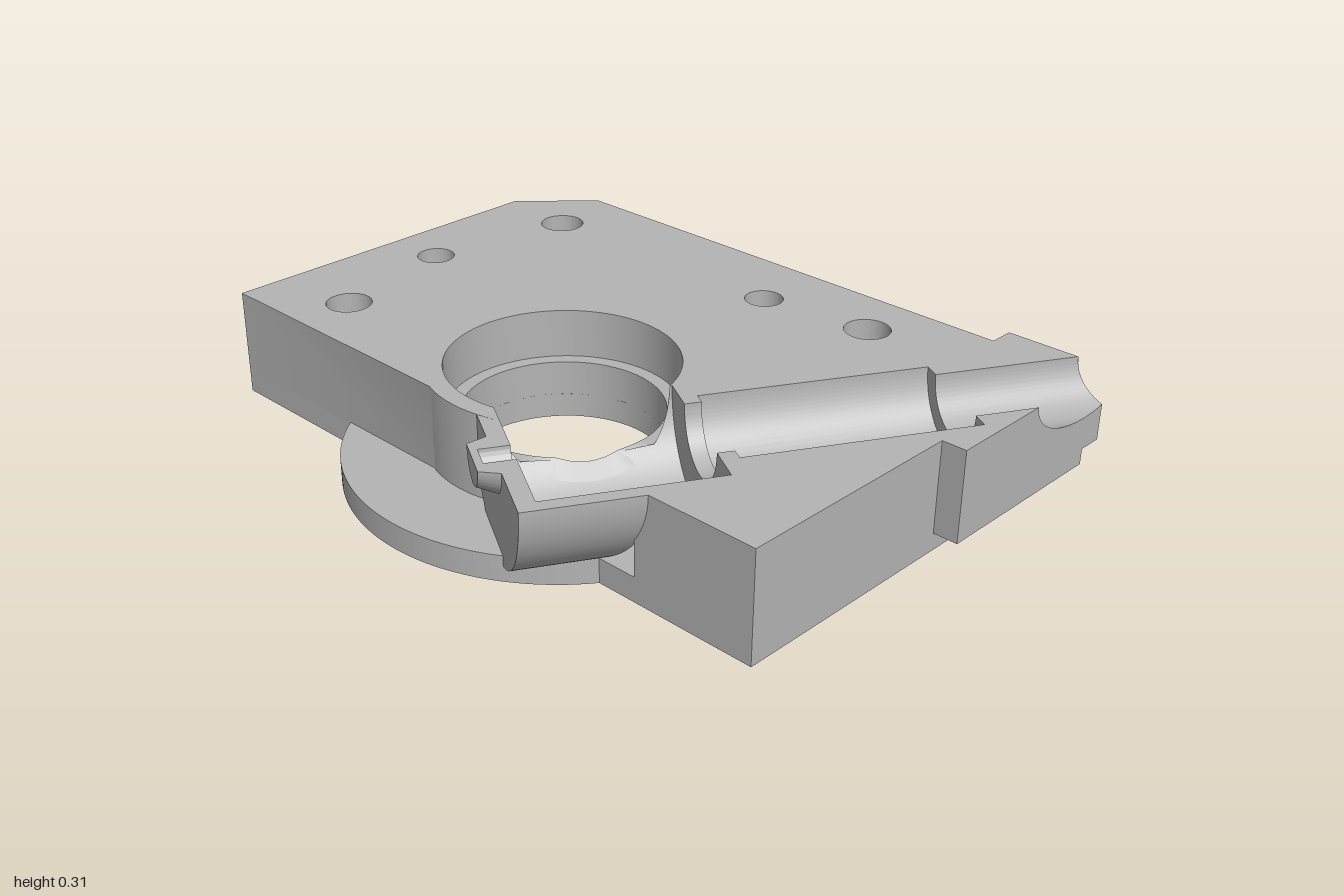
import * as THREE from 'three';
import { toCreasedNormals } from 'three/addons/utils/BufferGeometryUtils.js';

const TOP = 0.31, BASE = 0.07, LEDGE = 0.17;
const C = Math.cos(Math.PI / 6), S = 0.5;
const AX = -0.61, AZ = 0.245;            // start of the slanted groove axis
const BX = -0.185, BZ = -0.035;          // centre of the large bore
const R1 = 0.2375, R2 = 0.13, R3 = 0.165, R4 = 0.118; // stepped groove radii
const U1 = 0.462, U2 = 0.507, U3 = 1.135;             // step positions along the axis
const EDGE = -0.53, RIGHT = 0.71, LUG = 0.785;

// u runs along the groove, v across it
const uv = (u, v) => [AX + C * u - S * v, AZ + S * u + C * v];
const across = (x, z) => -S * (x - AX) + C * (z - AZ);
const uAtX = (x, v) => (x - AX + S * v) / C;
const floorAt = (x, z, r) => TOP - Math.sqrt(Math.max(0, r * r - across(x, z) ** 2));

const arc = (r, a0, a1, n = 64) => Array.from({ length: n + 1 }, (_, i) => {
  const a = THREE.MathUtils.degToRad(a0 + (a1 - a0) * i / n);
  return [BX + r * Math.cos(a), BZ + r * Math.sin(a)];
});

function planShape(points, holes = []) {
  const shape = new THREE.Shape(points.map(([x, z]) => new THREE.Vector2(x, -z)));
  for (const [x, z, r] of holes) {
    const h = new THREE.Path();
    h.absarc(x, -z, r, 0, Math.PI * 2, true);
    shape.holes.push(h);
  }
  return shape;
}

function slab(points, y0, y1, holes) {
  const g = new THREE.ExtrudeGeometry(planShape(points, holes),
    { depth: y1 - y0, bevelEnabled: false, curveSegments: 32 });
  g.rotateX(-Math.PI / 2).translate(0, y0, 0);
  return toCreasedNormals(g, 0.5);
}

function box(x0, x1, y0, y1, z0, z1) {
  return new THREE.BoxGeometry(x1 - x0, y1 - y0, z1 - z0)
    .translate((x0 + x1) / 2, (y0 + y1) / 2, (z0 + z1) / 2);
}

// Moves every vertex by a rule, then restores sharp edges
function reshape(g, rule) {
  const p = g.attributes.position;
  for (let i = 0; i < p.count; i++) p.setXYZ(i, ...rule(p.getX(i), p.getY(i), p.getZ(i)));
  return toCreasedNormals(g, 0.5);
}

// Half revolution about the slanted axis; profile is [radius, u], clip limits u for each v
function halfTurn(profile, clip) {
  const g = new THREE.LatheGeometry(profile.map(([r, u]) => new THREE.Vector2(r, u)), 96, 0, Math.PI);
  return reshape(g, (lx, u, v) => {
    const [x, z] = uv(clip(u, v), v);
    return [x, TOP - lx, z];
  });
}

// Half length of the opening where the groove breaks into the bore
function opening(v) {
  const r = v < -0.192 ? 0.315 : 0.275;
  return Math.sqrt(Math.max(0, r * r - (v + 0.455) ** 2));
}

export function createModel() {
  const model = new THREE.Group();
  const grey = new THREE.MeshStandardMaterial({ color: 0xb4b4b4, side: THREE.DoubleSide });
  grey.name = 'machinedGrey';
  const add = (name, geometry) => {
    const mesh = new THREE.Mesh(geometry, grey);
    mesh.name = name;
    model.add(mesh);
  };

  const through = [[-0.355, -0.73, 0.065], [0.49, -0.75, 0.065], [0.53, 0.415, 0.065]];
  const blind = [[0.04, -0.825, 0.055], [0.49, 0.08, 0.055]];

  // Bottom layer of the plate and the round flange at its side
  add('basePlate', slab([[EDGE, -1], [0.52, -1], [RIGHT, -0.81], [RIGHT, 0.93], [EDGE, 0.93]],
    0, BASE, [...through, [BX, BZ, 0.275]]));
  add('roundFlange', slab(arc(0.595, 125.4, 234.6), 0, BASE + 0.003));

  // Upper layer behind the groove, notched by the bore
  add('rearPlate', slab([
    uv(uAtX(EDGE, -0.16), -0.16), ...arc(0.368, 168.5, 200.3, 12),
    [EDGE, -1], [0.52, -1], [RIGHT, -0.81], uv(uAtX(RIGHT, -R4), -R4),
    uv(U3, -R4), uv(U3, -R3), uv(U2, -R3), uv(U2, -R2), uv(U1, -R2), uv(U1, -R1),
    ...arc(0.315, 73.6, -193.6, 80),
  ], BASE, TOP, [...through, ...blind]));

  // Upper layer in front of the groove
  add('frontPlate', slab([
    uv(uAtX(EDGE, R1), R1), uv(U1, R1), uv(U1, R2), uv(U2, R2), uv(U2, R3), uv(U3, R3), uv(U3, R4),
    uv((1 - AZ - C * R4) / S, R4), [0.15, 1], [0.15, 0.93], [EDGE, 0.93],
  ], BASE, TOP));

  // Corner lug
  add('lugFoot', box(0.15, RIGHT, 0.05, 0.095, 0.7, 1));
  add('lugSide', box(RIGHT, LUG, 0.095, 0.18, 0.7, 1));
  add('lugShoulder', slab([[RIGHT, 0.7], [LUG, 0.7], uv(uAtX(LUG, -R4), -R4), uv(uAtX(RIGHT, -R4), -R4)],
    0.095, TOP));
  const lugFace = (name, ax, az, bx, bz) => add(name,
    reshape(new THREE.PlaneGeometry(1, 1, 48, 1), (px, py) => {
      const x = ax + (bx - ax) * (px + 0.5), z = az + (bz - az) * (px + 0.5);
      return [x, py < 0 ? 0.09 + (x > RIGHT ? 0.005 : 0) : floorAt(x, z, R4), z];
    }));
  lugFace('lugFrontFace', 0.46, 1, LUG, 1);
  lugFace('lugRightFace', LUG, 1, LUG, 0.914);

  // Bore with its ledge, cut down where the groove opens into it
  const sleeve = [[0.275, 0], [0.275, LEDGE], [0.315, LEDGE], [0.315, TOP]];
  add('boreSleeve', reshape(
    new THREE.LatheGeometry(sleeve.map(([r, y]) => new THREE.Vector2(r, y)).reverse(), 128),
    (x, y, z) => [x + BX, Math.min(y, floorAt(x + BX, z + BZ, R1)), z + BZ]));

  // Stepped half-round groove, in two runs either side of the bore
  add('grooveHead', halfTurn(
    [[R1, 0.228], [R1, 0], [0.035, 0], [0.035, -0.08], [0, -0.08]],
    (u, v) => (u > 0 ? Math.max(0, 0.228 - opening(v)) : u)));
  add('grooveRun', halfTurn(
    [[R4, 1.8], [R4, U3], [R3, U3], [R3, U2], [R2, U2], [R2, U1], [R1, U1], [R1, 0.228]],
    (u, v) => {
      if (u < 0.3) return Math.min(U1, 0.228 + opening(v));
      return Math.min(u, uAtX(LUG, v), (1 - AZ - C * v) / S);
    }));

  // Rounded housing that carries the groove beyond the plate, with its end boss
  add('grooveHousing', halfTurn(
    [[0, -0.1], [0.07, -0.1], [0.093, -0.048], [0.276, -0.048], [0.276, 0.3]],
    (u, v) => (u > 0 ? Math.max(-0.048, uAtX(EDGE + 0.008, v)) : u)));
  const rim = [
    [uAtX(EDGE, 0.276), 0.276], [-0.048, 0.276], [-0.048, 0.093], [-0.1, 0.07], [-0.1, -0.07],
    [-0.048, -0.093], [-0.048, -0.21], [0, -0.16], [0, -0.035], [-0.08, -0.035], [-0.08, 0.035],
    [0, 0.035], [0, R1], [uAtX(EDGE, R1), R1],
  ].map(([u, v]) => uv(u, v));
  add('housingRim', new THREE.ShapeGeometry(planShape(rim)).rotateX(-Math.PI / 2).translate(0, TOP, 0));

  return model;
}
